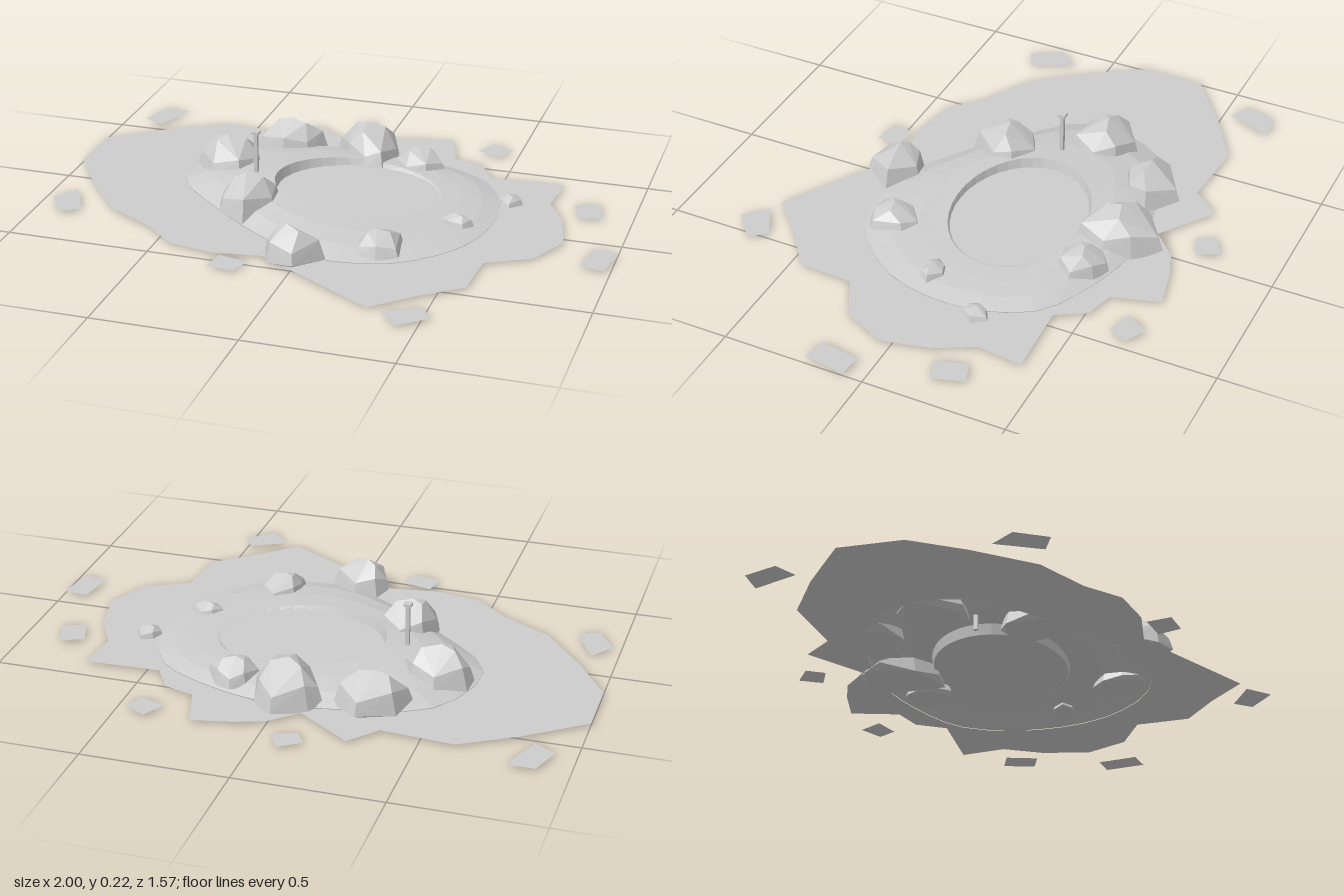
import * as THREE from 'three';
import { ConvexGeometry } from 'three/addons/geometries/ConvexGeometry.js';

const GROUND_Y = 0.008;

// Outlines are flat lists of x, z in hundredths of a unit
const toPoints = (list) => {
  const pts = [];
  for (let i = 0; i < list.length; i += 2) pts.push(new THREE.Vector2(list[i] / 100, list[i + 1] / 100));
  return pts;
};

const groundOutline = [
  -100, -35, -80, -50, -61.5, -61, -36.5, -59, -28, -69, -9, -55.5, 0, -64, 10, -67.5, 24, -70.5, 29, -54,
  39.5, -51, 45.5, -41, 72, -42, 70, -26, 77, -13, 81, 4, 74, 19, 59, 27, 58, 46, 44, 57, 31.5, 69,
  -12, 43.5, -29, 46, -45, 43, -56, 33, -74, 23, -89, 4, -100, -13,
];

const patches = [
  [-89, -68.5, -79.5, -68.5, -85.5, -53, -93, -57],
  [-15.5, -74, -8, -79, -4, -71.5, -12, -68],
  [39.5, -71.5, 47.5, -67, 44, -60.5, 35, -63.5],
  [78.5, -27, 86.5, -30, 90, -19, 82, -16],
  [91.5, 6, 100, 7, 98, 21.5, 89.5, 20],
  [36.5, 70.5, 48.5, 64, 53, 70, 43.5, 78],
  [-25.5, 47, -15, 49, -17.5, 57, -27, 55.5],
  [-97, 20, -91, 12, -83.5, 27, -91, 30.5],
];

// Each rock: footprint, bottom height, top height
const rocks = [
  [[-42, -39, -39, -49, -27, -56, -17, -47, -22, -38, -31, -34], 0.01, 0.14],
  [[-14, -48, -11, -54, 0, -61, 8, -53, 11, -43, 8, -31, 1, -31, -8, -37], 0, 0.15],
  [[10, -38, 13, -46, 18, -49, 24, -46, 29, -39, 24, -32, 16, -31], 0.01, 0.1],
  [[-58, -20, -57, -26, -47, -32, -37, -28, -33, -20, -38, -9, -49, -9], 0.01, 0.145],
  [[-38, 12, -35, 2, -27, -2, -18, 4, -18, 12, -26, 23, -36, 18], 0.01, 0.147],
  [[-12, 40, -9, 34, -1, 32, 9, 40, 1, 51, -9, 48], 0.008, 0.125],
  [[17, 30, 18, 23, 25, 18, 31, 22, 32, 34, 25, 37, 18, 36], 0.01, 0.09],
  [[38, 4, 41, 0, 45, -1, 50, 3, 47, 7, 41, 7], 0.02, 0.062],
  [[53, -18, 55, -22, 59, -24, 62, -19, 58, -14, 55, -15], 0.02, 0.056],
];

// Mound outline: a radius every 30 degrees, from +x towards +z
const SEGMENTS = 36;
const radii = [0.52, 0.54, 0.54, 0.5, 0.44, 0.47, 0.62, 0.6, 0.46, 0.42, 0.43, 0.5];
const moundEdge = new THREE.CatmullRomCurve3(radii.map((r, i) => {
  const a = (i * Math.PI) / 6;
  return new THREE.Vector3(0.03 + r * Math.cos(a), 0, -0.1 + r * Math.sin(a));
}), true).getPoints(SEGMENTS).slice(0, SEGMENTS);

function sheet(outline, hole) {
  const flip = (p) => new THREE.Vector2(p.x, -p.y);
  const shape = new THREE.Shape(outline.map(flip));
  if (hole) shape.holes.push(new THREE.Path(hole.map(flip)));
  return new THREE.ShapeGeometry(shape).rotateX(-Math.PI / 2).translate(0, GROUND_Y, 0);
}

// Joins closed rings of points into faceted bands, closing the last with a fan
function loft(rings) {
  const n = rings[0].length;
  const index = [];
  for (let r = 0; r < rings.length - 1; r++) {
    for (let i = 0; i < n; i++) {
      const a = r * n + i, b = r * n + ((i + 1) % n);
      index.push(a, a + n, b, b, a + n, b + n);
    }
  }
  const geo = new THREE.BufferGeometry().setFromPoints(rings.flat());
  geo.setIndex(index);
  const flat = geo.toNonIndexed();
  flat.computeVertexNormals();
  return flat;
}

// Mound rising to a lip that is tall on one side, then dropping to the basin floor
function moundGeometry() {
  const ring = (fn) => moundEdge.map((edge, i) => {
    const a = (i / SEGMENTS) * Math.PI * 2;
    const lip = new THREE.Vector3(0.05 + 0.295 * Math.cos(a), 0.052 - 0.018 * Math.cos(a), -0.1 + 0.235 * Math.sin(a));
    return fn(edge, lip);
  });
  const between = (t, h) => (edge, lip) => {
    const p = edge.clone().lerp(lip, t);
    p.y = 0.01 + (lip.y - 0.01) * h;
    return p;
  };
  const floor = (s) => (edge, lip) => new THREE.Vector3(0.05 + (lip.x - 0.05) * s, 0.033, -0.1 + (lip.z + 0.1) * s);
  return loft([
    ring(between(0, 0)), ring(between(0.3, 0.6)), ring(between(0.65, 0.9)), ring(between(1, 1)),
    ring(floor(0.97)), ring(floor(0)),
  ]);
}

// Faceted boulder: footprint, shoulder, staggered crown and a peak
function rockGeometry(list, bottom, top) {
  const base = toPoints(list);
  const n = base.length;
  const c = base.reduce((s, p) => s.add(p), new THREE.Vector2()).divideScalar(n);
  const h = top - bottom;
  const pts = [];
  base.forEach((p, i) => {
    const at = (q, s, y) => pts.push(new THREE.Vector3(c.x + (q.x - c.x) * s, bottom + h * y, c.y + (q.y - c.y) * s));
    at(p, 1, i % 2 ? 0 : 0.12);
    at(p, 0.78, 0);
    if (i % 2) at(p, 0.82, 0.6);
    else at(p, 0.88, 0.45);
    if (i % 3 === 0) at(p.clone().lerp(base[(i + 1) % n], 0.5), 0.5, 0.9);
  });
  pts.push(new THREE.Vector3(c.x - 0.1 * (c.x - base[1].x), top, c.y));
  return new ConvexGeometry(pts);
}

export function createModel() {
  const group = new THREE.Group();
  const stone = new THREE.MeshStandardMaterial({ color: 0xcccccc, side: THREE.DoubleSide });
  stone.name = 'pale grey stone';
  const add = (name, geometry) => {
    const mesh = new THREE.Mesh(geometry, stone);
    mesh.name = name;
    group.add(mesh);
  };

  // Ragged ground, open under the mound, with loose patches around it
  add('ground', sheet(toPoints(groundOutline), moundEdge.map((p) => new THREE.Vector2(p.x, p.z))));
  patches.forEach((p, i) => add(`groundPatch${i + 1}`, sheet(toPoints(p))));

  add('moundAndBasin', moundGeometry());
  rocks.forEach(([list, bottom, top], i) => add(`rock${i + 1}`, rockGeometry(list, bottom, top)));

  // Thin square post with a cap
  add('post', new THREE.BoxGeometry(0.014, 0.2, 0.014).translate(-0.32, 0.113, -0.09));
  add('postCap', new THREE.BoxGeometry(0.027, 0.009, 0.027).translate(-0.32, 0.216, -0.09));

  return group;
}
